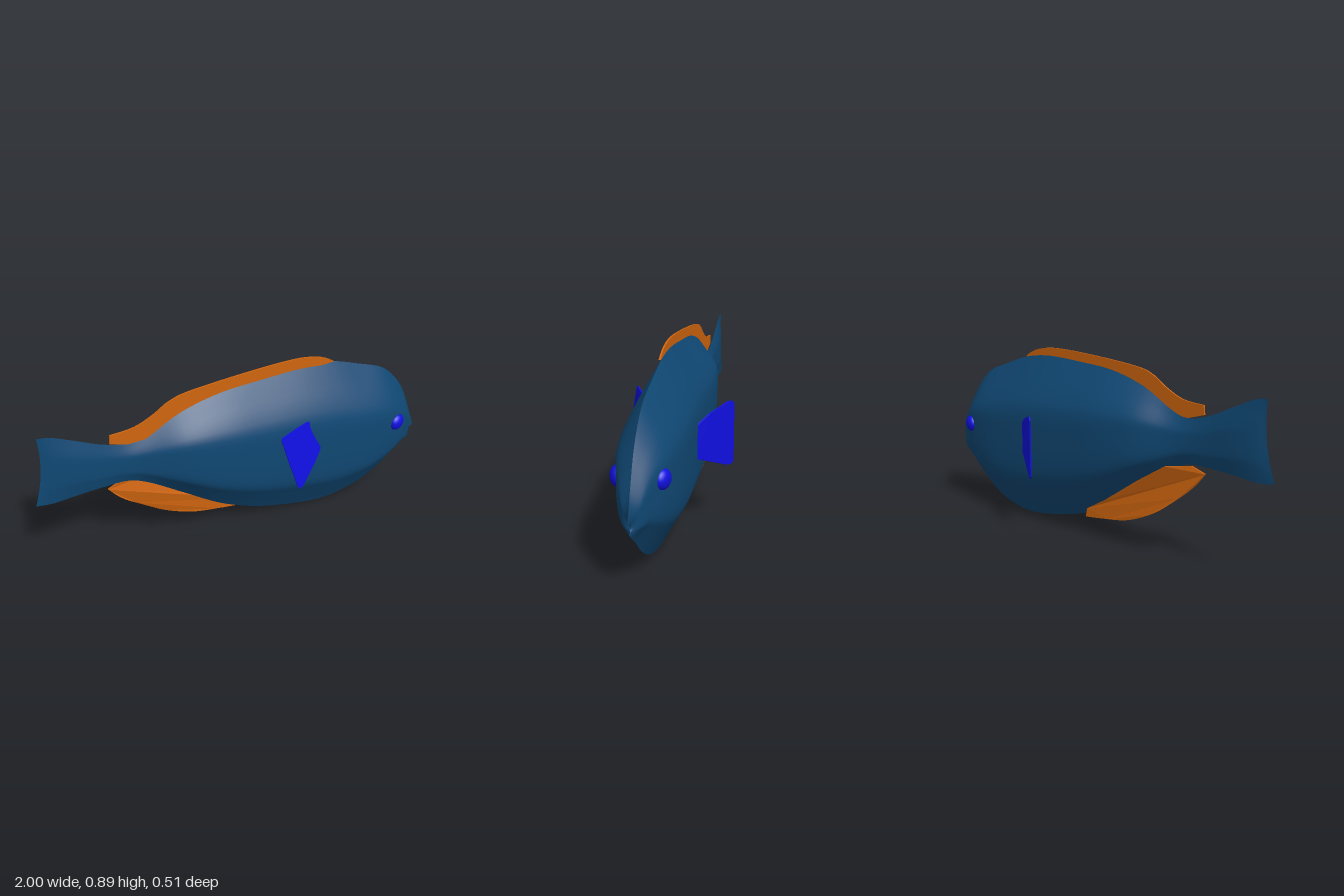
import * as THREE from 'three';

const MID = 0.015; // z of the body's middle plane

const bodyBlue = new THREE.MeshStandardMaterial({ name: 'bodyBlue', color: 0x104874 });
const brightBlue = new THREE.MeshStandardMaterial({ name: 'brightBlue', color: 0x1010e0 });
const orange = new THREE.MeshStandardMaterial({ name: 'orange', color: 0xd0650f });

// Body stations, tail to mouth: top x, top y, bottom x, bottom y, half width, bow of the middle in x
const STATIONS = [
  [-0.95, 0.79, -1.0, 0.445, 0, 0.02],
  [-0.89, 0.78, -0.92, 0.437, 0.012, 0.01],
  [-0.79, 0.735, -0.8, 0.447, 0.018, 0],
  [-0.67, 0.68, -0.67, 0.453, 0.015, 0],
  [-0.56, 0.655, -0.57, 0.45, 0.022, 0],
  [-0.47, 0.68, -0.47, 0.405, 0.042, 0],
  [-0.31, 0.765, -0.31, 0.295, 0.1, 0],
  [-0.12, 0.818, -0.12, 0.165, 0.125, 0],
  [0.08, 0.836, 0.08, 0.075, 0.131, 0],
  [0.3, 0.846, 0.3, 0.02, 0.135, 0],
  [0.47, 0.826, 0.47, 0, 0.135, 0],
  [0.62, 0.778, 0.62, 0.022, 0.131, 0],
  [0.75, 0.73, 0.72, 0.06, 0.117, 0],
  [0.83, 0.665, 0.82, 0.125, 0.097, 0],
  [0.9, 0.57, 0.89, 0.19, 0.069, 0],
  [0.955, 0.44, 0.94, 0.23, 0.039, 0],
  [1.0, 0.32, 0.98, 0.265, 0, -0.03],
];
// Relative width from keel (0) to back ridge (1)
const WIDTHS = [[0, 0], [0.08, 0.27], [0.18, 0.62], [0.26, 0.88], [0.38, 0.98], [0.55, 1],
  [0.69, 0.97], [0.79, 0.74], [0.9, 0.36], [1, 0]];

const spline = (pts) => new THREE.CatmullRomCurve3(pts, false, 'catmullrom', 0.5);

// One flank of the body; the two flanks meet in a sharp ridge and keel
function flankGeometry(side) {
  const top = spline(STATIONS.map((s) => new THREE.Vector3(s[0], s[1], s[4])));
  const bottom = spline(STATIONS.map((s) => new THREE.Vector3(s[2], s[3], s[5])));
  const width = spline(WIDTHS.map((w) => new THREE.Vector3(w[0], w[1], 0)));
  const nu = 80, nv = 27, pos = [], index = [];
  for (let i = 0; i <= nu; i++) {
    const a = top.getPoint(i / nu), b = bottom.getPoint(i / nu);
    for (let j = 0; j <= nv; j++) {
      const w = width.getPoint(j / nv), t = w.x;
      pos.push(
        b.x + (a.x - b.x) * t + b.z * 4 * t * (1 - t),
        b.y + (a.y - b.y) * t,
        MID + side * Math.max(0, a.z) * w.y,
      );
      if (i < nu && j < nv) {
        const p = i * (nv + 1) + j, q = p + nv + 1;
        if (side > 0) index.push(p, q, p + 1, q, q + 1, p + 1);
        else index.push(p, p + 1, q, q, p + 1, q + 1);
      }
    }
  }
  const g = new THREE.BufferGeometry();
  g.setAttribute('position', new THREE.Float32BufferAttribute(pos, 3));
  g.setIndex(index);
  g.computeVertexNormals();
  return g;
}

// Thin plate cut from a shape in x, y and laid on the surface z = zAt(x, y)
function finGeometry(shape, zAt, depth = 0.008) {
  const g = new THREE.ExtrudeGeometry(shape, { depth, bevelEnabled: false, curveSegments: 32 });
  const p = g.attributes.position;
  for (let i = 0; i < p.count; i++) {
    p.setZ(i, p.getZ(i) - depth / 2 + zAt(p.getX(i), p.getY(i)));
  }
  g.computeVertexNormals();
  return g;
}

const vecs = (pts) => pts.map(([x, y]) => new THREE.Vector2(x, y));

// Fin outline: smooth outer edge from the first point, straight inner edge back to it
function edgedShape(outer, inner) {
  const s = new THREE.Shape();
  s.moveTo(...outer[0]);
  s.splineThru(vecs(outer.slice(1)));
  inner.forEach((p) => s.lineTo(...p));
  return s;
}

export function createModel() {
  const model = new THREE.Group();
  model.name = 'fish';
  const add = (name, geometry, material, parent = model) => {
    const m = new THREE.Mesh(geometry, material);
    m.name = name;
    parent.add(m);
    return m;
  };

  // Body with tail
  const body = new THREE.Group();
  body.name = 'body';
  model.add(body);
  add('leftFlank', flankGeometry(1), bodyBlue, body);
  add('rightFlank', flankGeometry(-1), bodyBlue, body);

  // Back fin
  const dorsal = edgedShape(
    [[-0.64, 0.722], [-0.53, 0.733], [-0.44, 0.772], [-0.36, 0.822], [-0.26, 0.85], [0, 0.875],
      [0.24, 0.887], [0.36, 0.877], [0.43, 0.855], [0.475, 0.828]],
    [[0.37, 0.82], [0, 0.8], [-0.28, 0.74], [-0.47, 0.66], [-0.56, 0.655], [-0.645, 0.68]],
  );
  add('dorsalFin', finGeometry(dorsal, () => 0.02), orange);

  // Belly fin, set slightly off the middle plane towards its front
  const anal = edgedShape(
    [[-0.67, 0.427], [-0.62, 0.365], [-0.55, 0.3], [-0.42, 0.202], [-0.26, 0.13], [-0.1, 0.1], [0.01, 0.085]],
    [[0, 0.13], [-0.12, 0.2], [-0.31, 0.33], [-0.47, 0.43], [-0.6, 0.452]],
  );
  const analZ = (x) => 0.005 - 0.03 * THREE.MathUtils.smoothstep(x, -0.66, -0.45);
  add('analFin', finGeometry(anal, analZ), orange);

  // Side fins
  const leftFin = new THREE.Shape(vecs([[0.1, 0.605], [0.14, 0.465], [0.18, 0.335], [0.19, 0.32],
    [0.215, 0.323], [0.305, 0.39], [0.35, 0.435], [0.36, 0.46], [0.33, 0.585], [0.31, 0.608], [0.2, 0.613], [0.11, 0.613]]));
  add('leftPectoralFin', finGeometry(leftFin, (x, y) => 0.143 - 0.45 * (x - 0.36) - 0.24 * (y - 0.455)), brightBlue);
  const rightFin = new THREE.Shape(vecs([[0.165, 0.575], [0.165, 0.3], [0.175, 0.287], [0.2, 0.288],
    [0.375, 0.37], [0.375, 0.51], [0.3, 0.555], [0.2, 0.588], [0.18, 0.59]]));
  add('rightPectoralFin', finGeometry(rightFin, (x) => -0.125 + 0.65 * (x - 0.35)), brightBlue);

  // Eyes
  for (const side of [1, -1]) {
    const eye = add(side > 0 ? 'leftEye' : 'rightEye', new THREE.SphereGeometry(1, 24, 16), brightBlue);
    eye.scale.set(0.045, 0.043, 0.028);
    eye.position.set(0.822, 0.44, MID + side * 0.093);
    eye.rotation.y = side * 0.35;
  }
  return model;
}
